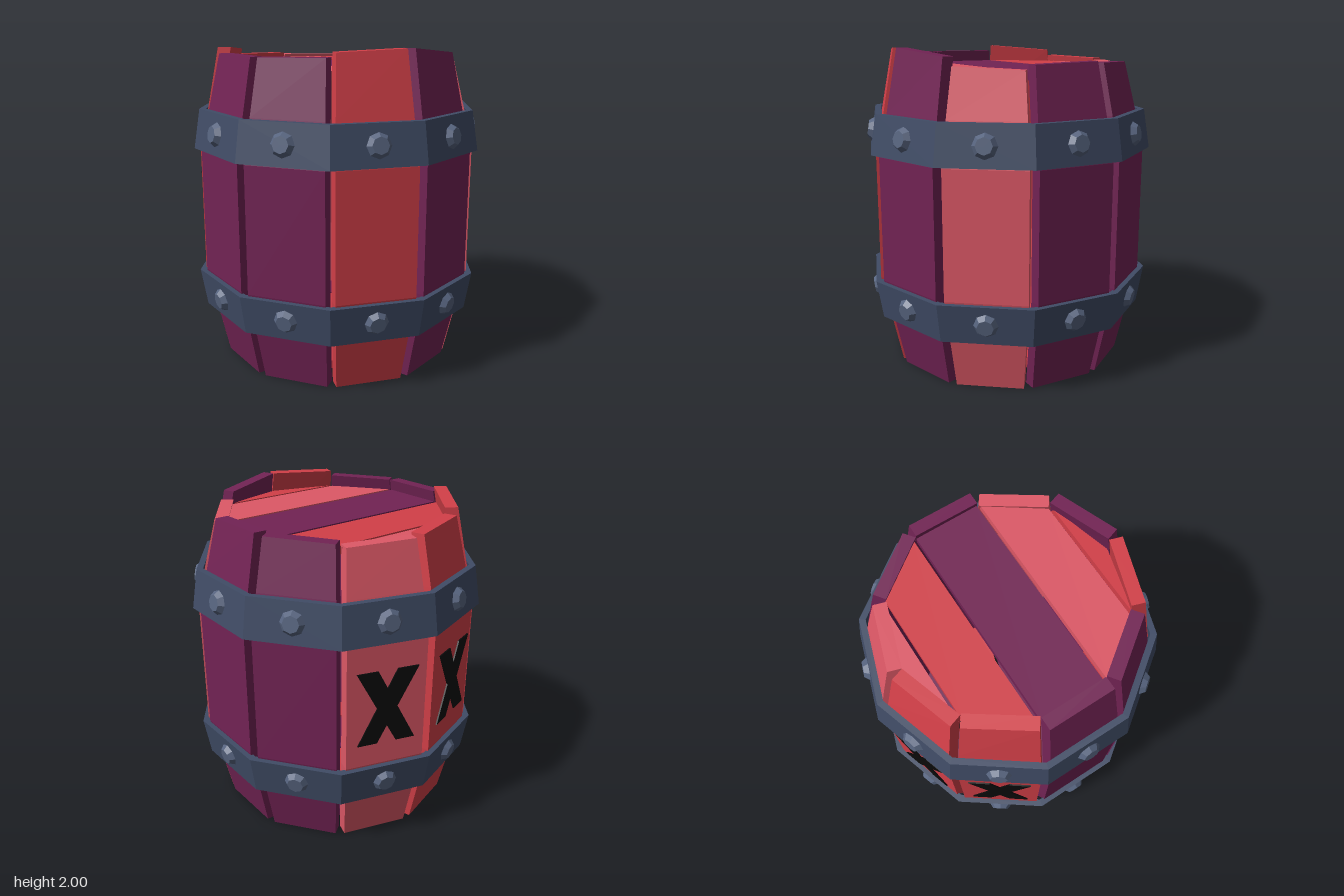
import * as THREE from 'three';

const DEG = Math.PI / 180;
const TAN = Math.tan(18 * DEG);

const makeMat = (name, color) => {
  const m = new THREE.MeshStandardMaterial({ color, flatShading: true });
  m.name = name;
  return m;
};

export function createModel() {
  const purple = makeMat('plum wood', 0x722354);
  const red = makeMat('red wood', 0xd23f48);
  const pink = makeMat('rose wood', 0xdd5866);
  const iron = makeMat('slate iron', 0x404c66);
  const rivetMat = makeMat('rivet iron', 0x57647f);
  const black = makeMat('black paint', 0x0a0a0a);

  const barrel = new THREE.Group();
  barrel.name = 'barrel';
  const add = (parent, geo, mat, name) => {
    const mesh = new THREE.Mesh(geo, mat);
    mesh.name = name;
    parent.add(mesh);
    return mesh;
  };

  // Bulging stave: a box whose rows follow the barrel profile, with a slanted top
  const rows = [[0, 0.72], [0.33, 0.79], [0.58, 0.845], [1.36, 0.845], [1.62, 0.79], [1.95, 0.72]];
  const thick = 0.08;
  function staveGeometry(topLow, topHigh) {
    const geo = new THREE.BoxGeometry(1, 1, 1, 1, rows.length - 1, 1);
    const p = geo.attributes.position;
    for (let i = 0; i < p.count; i++) {
      const row = Math.round((p.getY(i) + 0.5) * (rows.length - 1));
      const [y, r] = rows[row];
      const side = Math.sign(p.getX(i));
      const top = side > 0 ? topLow : topHigh;
      p.setXYZ(i, side * ((r - thick) * TAN - 0.003),
        row === rows.length - 1 ? top : y,
        p.getZ(i) > 0 ? r : r - thick);
    }
    geo.computeVertexNormals();
    return geo;
  }

  // Painted cross: two slanted strokes as thin plates
  function addCross(parent) {
    const cross = new THREE.Group();
    cross.name = 'paintedCross';
    for (const s of [1, -1]) {
      const shape = new THREE.Shape([
        [-0.19, 0.235], [-0.06, 0.235], [0.18, -0.235], [0.06, -0.235],
      ].map(([x, y]) => new THREE.Vector2(x * s, y)));
      const geo = new THREE.ExtrudeGeometry(shape, { depth: 0.009, bevelEnabled: false });
      add(cross, geo, black, 'crossStroke');
    }
    cross.position.set(0, 0.965, 0.852);
    parent.add(cross);
  }

  // Staves in order around the barrel: colour, the two top corners, painted or not
  const staves = [
    [purple, 1.96, 2.0], [red, 2.0, 1.985], [purple, 1.955, 1.95], [purple, 1.95, 1.95],
    [red, 1.985, 1.955, true], [red, 1.92, 1.91, true], [pink, 1.9, 1.89, true],
    [purple, 1.91, 1.92], [purple, 1.93, 1.92], [pink, 1.89, 1.91],
  ];
  staves.forEach(([mat, low, high, painted], i) => {
    const side = new THREE.Group();
    side.name = 'barrelSide';
    side.rotation.y = (90 - 36 * i) * DEG;
    add(side, staveGeometry(low, high), mat, 'stave');
    if (painted) addCross(side);

    // Faceted rivets on the two hoops, tilted with the hoop faces
    for (const [y, tilt] of [[0.45, 1], [1.495, -1]]) {
      const rivet = add(side, new THREE.CylinderGeometry(0.05, 0.077, 0.035, 8), rivetMat, 'rivet');
      rivet.position.set(0, y, 0.87);
      rivet.rotation.x = Math.PI / 2 + tilt * 0.155;
    }
    barrel.add(side);
  });

  // Ten-sided iron hoops, wide edge toward the middle
  const hoop = (narrowY, wideY, name) => {
    const pts = [[0.84, narrowY], [0.88, narrowY], [0.92, wideY], [0.872, wideY], [0.84, narrowY]]
      .map(([r, y]) => new THREE.Vector2(r, y));
    if (wideY < narrowY) pts.reverse();
    add(barrel, new THREE.LatheGeometry(pts, 10), iron, name);
  };
  hoop(0.33, 0.57, 'lowerHoop');
  hoop(1.615, 1.37, 'upperHoop');

  // Lid and floor: planks cut from a ten-sided disc, corner to corner
  function addPlanks(name, angles, mats, y, turn) {
    const R = 0.69, gap = 0.01;
    const disc = new THREE.Group();
    disc.name = name;
    mats.forEach((mat, i) => {
      const [a, b] = [angles[i] * DEG, angles[i + 1] * DEG];
      const x0 = R * Math.sin(a) + gap, x1 = R * Math.sin(b) - gap;
      const h0 = Math.max(R * Math.cos(a), 0.005), h1 = Math.max(R * Math.cos(b), 0.005);
      const shape = new THREE.Shape([[x0, -h0], [x1, -h1], [x1, h1], [x0, h0]]
        .map(([x, v]) => new THREE.Vector2(x, v)));
      const geo = new THREE.ExtrudeGeometry(shape, { depth: 0.05, bevelEnabled: false });
      geo.rotateX(-Math.PI / 2);
      add(disc, geo, mat, name + 'Plank');
    });
    disc.position.y = y;
    disc.rotation.y = turn * DEG;
    barrel.add(disc);
  }
  addPlanks('lid', [-90, -54, -18, 18, 54, 90], [pink, red, purple, pink, red], 1.83, -18);
  addPlanks('floor', [-72, -36, 0, 36, 72], [purple, red, purple, red], 0.09, -36);

  return barrel;
}
